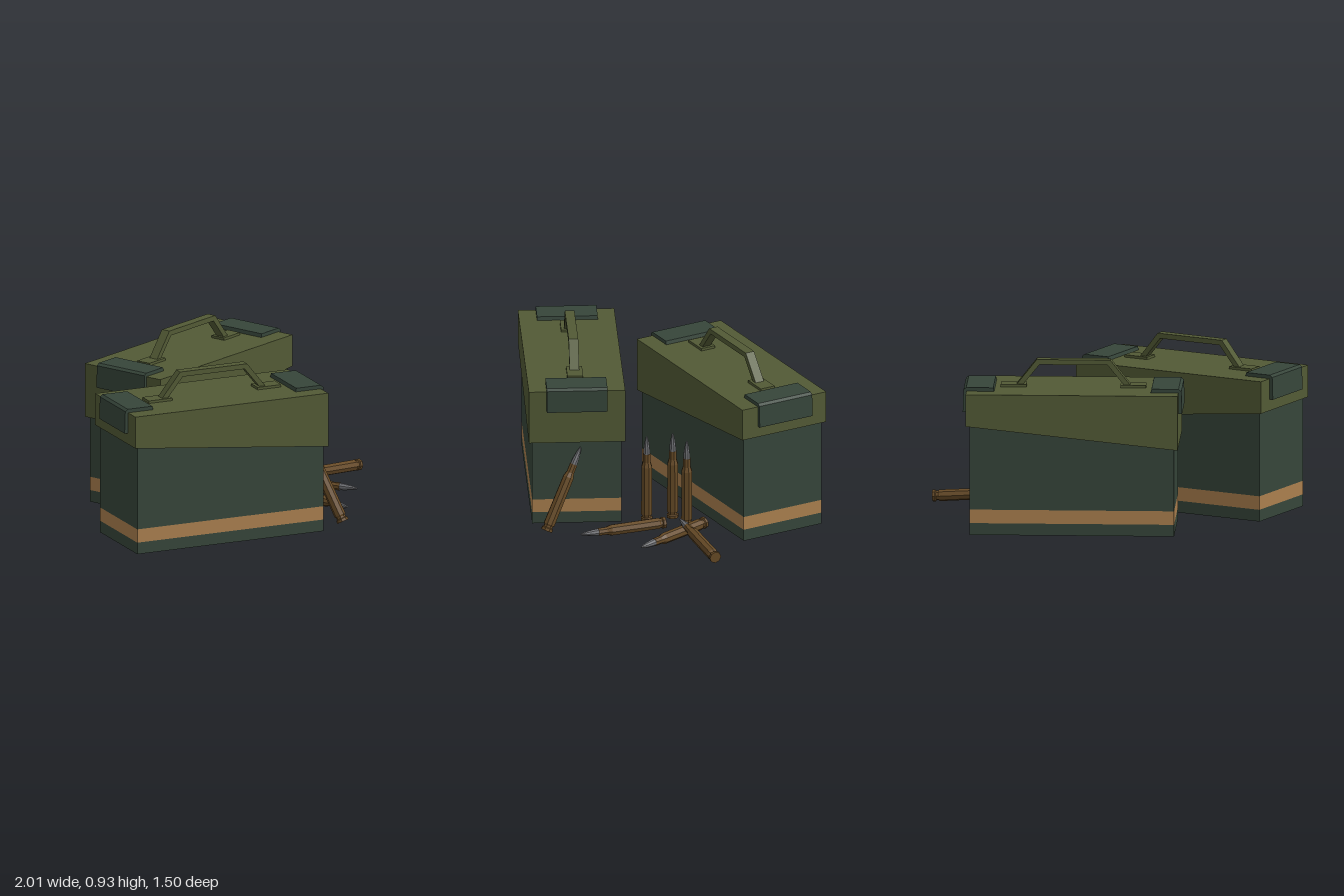
import * as THREE from 'three';

const mat = (name, color) => {
  const m = new THREE.MeshStandardMaterial({ color });
  m.name = name;
  return m;
};

export function createModel() {
  const bodyGreen = mat('dark green', 0x36453a);
  const lidOlive = mat('olive', 0x525a35);
  const stripeTan = mat('tan stripe', 0xaa7f4e);
  const brass = mat('brass', 0x664a26);
  const steel = mat('steel grey', 0x6f7074);
  brass.flatShading = steel.flatShading = true;

  const add = (parent, name, geometry, material, x = 0, y = 0, z = 0) => {
    const mesh = new THREE.Mesh(geometry, material);
    mesh.name = name;
    mesh.position.set(x, y, z);
    parent.add(mesh);
    return mesh;
  };

  // Side profile extruded evenly about z = 0
  const slab = (points, depth) => {
    const shape = new THREE.Shape(points.map(([x, y]) => new THREE.Vector2(x, y)));
    const g = new THREE.ExtrudeGeometry(shape, { depth, bevelEnabled: false });
    return g.translate(0, 0, -depth / 2);
  };

  function createBox(name) {
    const box = new THREE.Group();
    box.name = name;

    // Body in three bands
    const band = (part, y0, y1, material) =>
      add(box, part, new THREE.BoxGeometry(1.112, y1 - y0, 0.486), material, 0, (y0 + y1) / 2, 0);
    band('bodyBase', 0, 0.065, bodyGreen);
    band('bodyStripe', 0.065, 0.14, stripeTan);
    band('bodyUpper', 0.14, 0.7, bodyGreen);

    // Lid with a slanted lower edge
    add(box, 'lid', slab([[-0.576, 0.603], [0.576, 0.48], [0.576, 0.78], [-0.576, 0.78]], 0.524), lidOlive);

    // Handle bar bent over the lid
    add(box, 'handle', slab([
      [-0.315, 0.785], [-0.28, 0.785], [-0.185, 0.902], [0.185, 0.902], [0.28, 0.785],
      [0.315, 0.785], [0.2, 0.93], [-0.2, 0.93],
    ], 0.052), lidOlive);

    // Folded latch and handle pad at each end
    const latch = slab([
      [0.424, 0.775], [0.43, 0.8], [0.577, 0.8], [0.592, 0.788],
      [0.596, 0.665], [0.57, 0.665], [0.57, 0.775],
    ], 0.33);
    for (const side of [1, -1]) {
      add(box, 'latch', latch, bodyGreen).rotation.y = side > 0 ? 0 : Math.PI;
      add(box, 'handlePad', new THREE.BoxGeometry(0.14, 0.02, 0.086), lidOlive, side * 0.325, 0.784, 0);
    }
    return box;
  }

  // Cartridge: base at the origin, tip up +y
  const lathe = (points) => new THREE.LatheGeometry(points.map(([r, y]) => new THREE.Vector2(r, y)), 8);
  const caseGeometry = lathe([
    [0, 0], [0.033, 0], [0.033, 0.016], [0.026, 0.02], [0.026, 0.03],
    [0.032, 0.038], [0.031, 0.315], [0.022, 0.342], [0.022, 0.39], [0, 0.39],
  ]);
  const bulletGeometry = lathe([[0.02, 0.388], [0.018, 0.42], [0.012, 0.46], [0.005, 0.488], [0, 0.492]]);

  const up = new THREE.Vector3(0, 1, 0);
  function createCartridge(base, direction) {
    const cartridge = new THREE.Group();
    cartridge.name = 'cartridge';
    add(cartridge, 'casing', caseGeometry, brass);
    add(cartridge, 'bullet', bulletGeometry, steel);
    cartridge.position.set(...base);
    cartridge.quaternion.setFromUnitVectors(up, new THREE.Vector3(...direction).normalize());
    return cartridge;
  }

  const model = new THREE.Group();
  model.name = 'ammunitionBoxes';

  // Two boxes, the rear one turned end for end
  const front = createBox('frontBox');
  front.position.set(-0.378, 0, 0.317);
  front.rotation.y = -0.324;
  const rear = createBox('rearBox');
  rear.position.set(0.137, 0, -0.414);
  rear.rotation.y = Math.PI + 0.144;
  model.add(front, rear);

  // Standing, lying and leaning cartridges: [base, direction]
  const placements = [
    [[0.268, 0, -0.018], [0, 1, 0]],
    [[0.395, 0, -0.05], [0, 1, 0]],
    [[0.254, 0, 0.128], [0, 1, 0]],
    [[0.4, 0.034, 0.08], [0, 0.01, 1]],
    [[0.492, 0.04, -0.115], [0.195, 0, 0.44]],
    [[0.998, 0.052, 0.02], [-0.486, 0.036, 0.014]],
    [[0.235, 0.018, 0.705], [-0.065, 0.42, -0.22]],
  ];
  for (const [base, direction] of placements) model.add(createCartridge(base, direction));

  return model;
}
